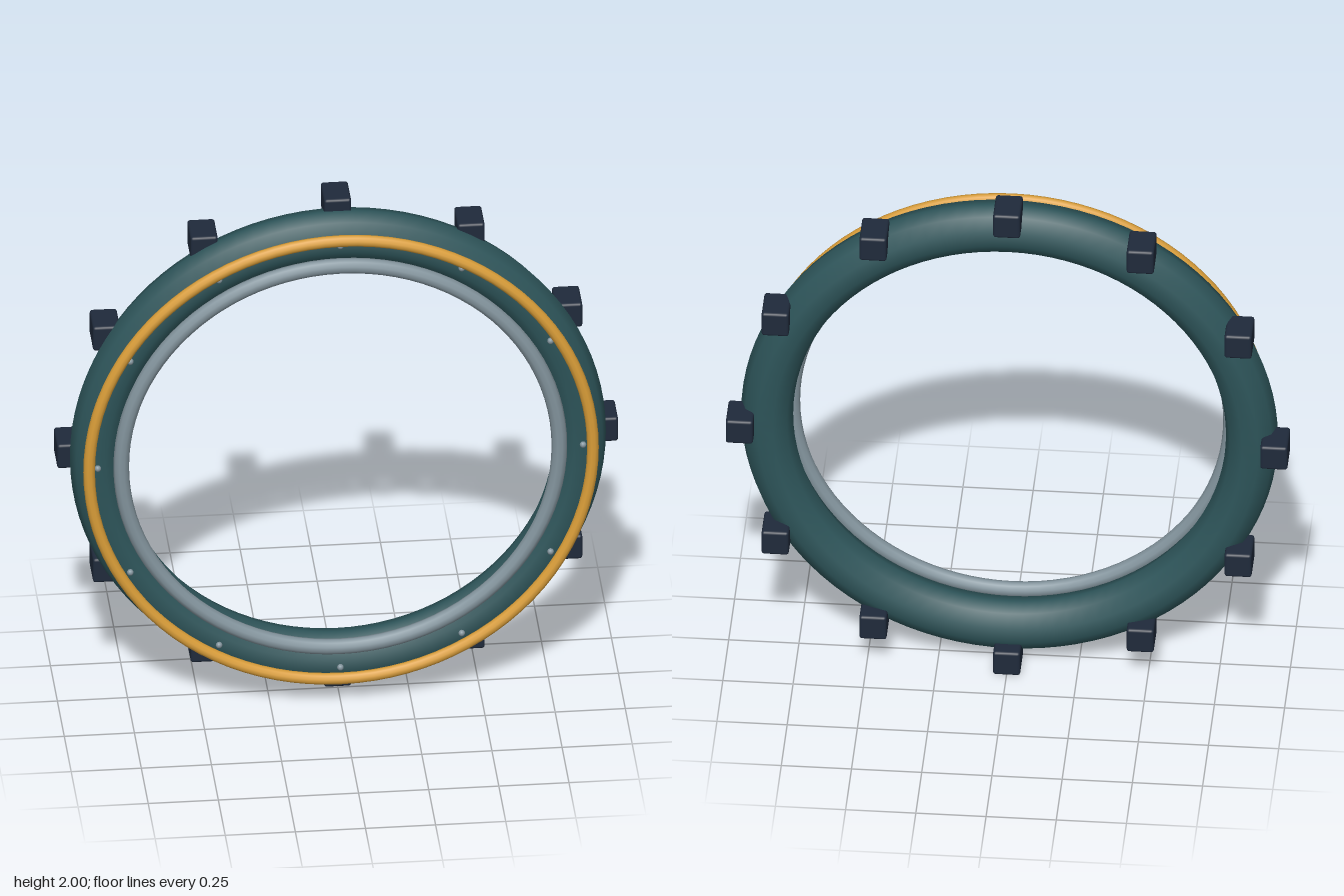
import * as THREE from 'three';
import { RoundedBoxGeometry } from 'three/addons/geometries/RoundedBoxGeometry.js';

const material = (name, color) => {
  const m = new THREE.MeshStandardMaterial({ color });
  m.name = name;
  return m;
};

export function createModel() {
  const teal = material('deep teal', 0x2d5459);
  const gold = material('gold', 0xd99d38);
  const steel = material('steel grey', 0x82939c);
  const navy = material('dark navy', 0x1f2a3b);

  const model = new THREE.Group();
  model.name = 'ringGate';

  const add = (name, geometry, mat, x, y, z) => {
    const mesh = new THREE.Mesh(geometry, mat);
    mesh.name = name;
    mesh.position.set(x, y, z);
    model.add(mesh);
  };

  // Concentric rings, all facing the front
  const ring = (name, mat, radius, tube, sides, z) =>
    add(name, new THREE.TorusGeometry(radius, tube, sides, 96), mat, 0, 1, z);
  ring('mainRing', teal, 0.863, 0.0925, 10, 0);
  ring('frontTrimRing', gold, 0.898, 0.021, 10, 0.114);
  ring('innerRing', steel, 0.781, 0.028, 10, 0.088);

  // Twelve upright blocks around the rim, and twelve studs on the front face
  const block = new RoundedBoxGeometry(0.097, 0.097, 0.135, 2, 0.01);
  const stud = new THREE.SphereGeometry(0.012, 10, 8);
  for (let i = 0; i < 12; i++) {
    const a = (i * Math.PI) / 6;
    const c = Math.cos(a), s = Math.sin(a);
    add('rimBlock', block, navy, 0.9515 * c, 1 + 0.9515 * s, -0.068);
    add('stud', stud, steel, 0.865 * c, 1 + 0.865 * s, 0.092);
  }
  return model;
}
